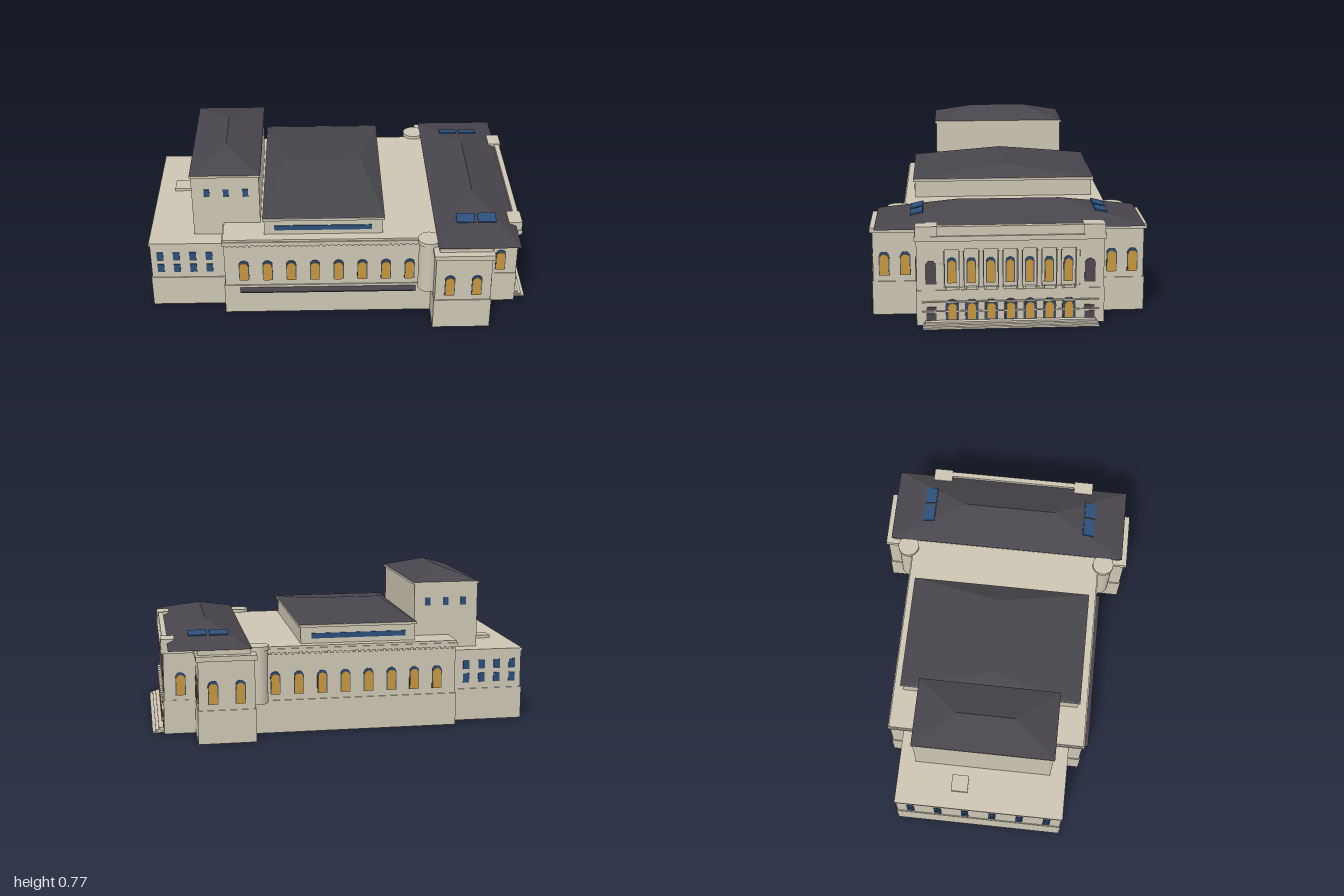
import * as THREE from 'three';
import { ConvexGeometry } from 'three/addons/geometries/ConvexGeometry.js';

const material = (name, color) => {
  const m = new THREE.MeshStandardMaterial({ color });
  m.name = name;
  return m;
};

export function createModel() {
  const stone = material('stone', 0xcdc6b4);
  const slate = material('slate', 0x48464c);
  const amber = material('amberGlass', 0xc8963c);
  const blue = material('blueGlass', 0x2c4f7a);
  const grey = material('greyNiche', 0x4c484e);

  const model = new THREE.Group();
  model.name = 'building';
  // The plan is turned a little; inside it, +x is the entrance end.
  const plan = new THREE.Group();
  plan.name = 'plan';
  plan.rotation.y = Math.PI / 20;
  plan.position.set(0.011, 0, 0.069);
  model.add(plan);

  const add = (name, geometry, mat) => {
    const mesh = new THREE.Mesh(geometry, mat);
    mesh.name = name;
    plan.add(mesh);
    return mesh;
  };
  const box = (name, mat, x0, x1, y0, y1, z0, z1) => {
    const mesh = add(name, new THREE.BoxGeometry(x1 - x0, y1 - y0, z1 - z0), mat);
    mesh.position.set((x0 + x1) / 2, (y0 + y1) / 2, (z0 + z1) / 2);
    return mesh;
  };
  // Block symmetric about the long axis
  const block = (name, x0, x1, y0, y1, half) => box(name, stone, x0, x1, y0, y1, -half, half);
  const hipRoof = (name, x0, x1, half, y0, y1, rx0, rx1, rz) => {
    const pts = [];
    for (const s of [-1, 1]) {
      for (const x of [x0, x1]) pts.push(new THREE.Vector3(x, y0, s * half));
    }
    if (rz > 0) for (const s of [-1, 1]) pts.push(new THREE.Vector3(rx0, y1, s * rz));
    else for (const x of [rx0, rx1]) pts.push(new THREE.Vector3(x, y1, 0));
    add(name, new ConvexGeometry(pts), slate);
  };

  // Plates on walls: turn 0 faces +z, PI faces -z, PI/2 faces +x, -PI/2 faces -x
  const plate = (name, mat, x, y, z, turn, w, h, arched, depth) => {
    const s = new THREE.Shape();
    const r = w / 2;
    s.moveTo(-r, 0);
    s.lineTo(r, 0);
    s.lineTo(r, arched ? h - r : h);
    if (arched) s.absarc(0, h - r, r, 0, Math.PI, false);
    else s.lineTo(-r, h);
    s.closePath();
    const g = new THREE.ExtrudeGeometry(s, { depth, bevelEnabled: false, curveSegments: 8 });
    const mesh = add(name, g, mat);
    mesh.position.set(x, y, z);
    mesh.rotation.y = turn;
  };
  const archWindow = (x, y, z, turn, w = 0.05, h = 0.115) => {
    plate('windowFrame', blue, x, y, z, turn, w, h, true, 0.004);
    plate('windowPane', amber, x, y, z, turn, w - 0.008, h - 0.012, true, 0.007);
  };

  // Rear service wing
  block('rearWingPlinth', -0.96, -0.55, 0, 0.165, 0.427);
  block('rearWing', -0.955, -0.55, 0.165, 0.355, 0.422);
  block('rearWingCornice', -0.96, -0.55, 0.355, 0.37, 0.427);
  box('roofHatch', stone, -0.872, -0.788, 0.37, 0.385, -0.148, -0.064);
  for (const y of [0.198, 0.268]) {
    for (let i = 0; i < 4; i++) {
      for (const s of [-1, 1]) {
        plate('wingWindow', blue, -0.908 + i * 0.081, y, s * 0.422, s > 0 ? 0 : Math.PI, 0.033, 0.047, false, 0.004);
      }
    }
    for (let i = 0; i < 6; i++) {
      plate('wingEndWindow', blue, -0.955, y, -0.35 + i * 0.14, -Math.PI / 2, 0.036, 0.047, false, 0.004);
    }
  }

  // Main hall
  block('hallPlinth', -0.59, 0.46, 0, 0.165, 0.501);
  block('hallWalls', -0.585, 0.46, 0.165, 0.405, 0.495);
  block('hallCornice', -0.594, 0.46, 0.405, 0.425, 0.505);
  block('hallParapet', -0.588, 0.46, 0.425, 0.436, 0.499);
  for (const s of [-1, 1]) {
    const turn = s > 0 ? 0 : Math.PI;
    for (let i = 0; i < 8; i++) archWindow(-0.49 + i * 0.117, 0.195, s * 0.495, turn);
    for (let i = 0; i < 36; i++) {
      const x = -0.575 + i * 0.028;
      box('dentil', stone, x, x + 0.012, 0.396, 0.405, s * 0.5 - 0.006, s * 0.5 + 0.002);
    }
  }
  box('frontCanopy', slate, -0.51, 0.36, 0.146, 0.152, 0.49, 0.54);

  // Stage tower
  block('tower', -0.738, -0.407, 0.36, 0.705, 0.344);
  block('towerCornice', -0.744, -0.4, 0.7, 0.712, 0.351);
  hipRoof('towerRoof', -0.744, -0.4, 0.351, 0.712, 0.773, -0.572, -0.572, 0.145);
  for (const s of [-1, 1]) {
    for (const x of [-0.664, -0.57, -0.475]) {
      plate('towerWindow', blue, x, 0.59, s * 0.344, s > 0 ? 0 : Math.PI, 0.028, 0.042, false, 0.004);
    }
  }

  // Auditorium
  block('auditorium', -0.385, 0.195, 0.43, 0.522, 0.45);
  block('auditoriumCornice', -0.392, 0.204, 0.518, 0.531, 0.46);
  hipRoof('auditoriumRoof', -0.39, 0.202, 0.458, 0.531, 0.59, -0.29, 0.1, 0);
  for (const s of [-1, 1]) {
    plate('clerestory', blue, -0.097, 0.461, s * 0.45, s > 0 ? 0 : Math.PI, 0.476, 0.026, false, 0.004);
  }

  // Entrance pavilion
  block('pavilionPlinth', 0.438, 0.72, 0, 0.165, 0.645);
  block('pavilionWalls', 0.443, 0.715, 0.165, 0.405, 0.64);
  block('pavilionCornice', 0.433, 0.725, 0.405, 0.43, 0.651);
  block('pavilionAttic', 0.46, 0.715, 0.43, 0.456, 0.615);
  hipRoof('pavilionRoof', 0.453, 0.852, 0.623, 0.455, 0.545, 0.652, 0.652, 0.243);
  for (const s of [-1, 1]) {
    const turn = s > 0 ? 0 : Math.PI;
    for (const x of [0.514, 0.645]) archWindow(x, 0.195, s * 0.64, turn);
    for (const z of [0.488, 0.587]) archWindow(0.715, 0.195, s * z, Math.PI / 2);
    archWindow(0.79, 0.195, s * 0.432, turn);
    // Corner turret
    const turret = add('turret', new THREE.CylinderGeometry(0.05, 0.05, 0.265, 24), stone);
    turret.position.set(0.418, 0.2975, s * 0.525);
    const cap = add('turretCap', new THREE.CylinderGeometry(0.055, 0.055, 0.022, 24), stone);
    cap.position.set(0.418, 0.441, s * 0.525);
    // Skylights lying on the hip end
    for (const x of [0.6, 0.704]) {
      const light = add('skylight', new THREE.BoxGeometry(0.09, 0.008, 0.06), blue);
      light.position.set(x, 0.503, s * 0.43);
      light.rotation.x = s * Math.atan(0.09 / 0.38);
    }
  }

  // Entrance front with a recessed colonnade
  block('entranceBase', 0.7, 0.875, 0, 0.17, 0.435);
  block('colonnadeBackWall', 0.7, 0.835, 0.17, 0.37, 0.432);
  block('entablature', 0.7, 0.872, 0.365, 0.406, 0.432);
  block('entranceCornice', 0.7, 0.884, 0.406, 0.43, 0.44);
  block('entranceAttic', 0.7, 0.872, 0.43, 0.454, 0.432);
  block('entranceParapet', 0.848, 0.874, 0.43, 0.474, 0.432);
  block('upperLedge', 0.87, 0.884, 0.112, 0.118, 0.41);
  block('lowerLedge', 0.87, 0.881, 0.066, 0.071, 0.41);
  for (const s of [-1, 1]) {
    box('endPier', stone, 0.83, 0.872, 0.17, 0.37, s * 0.376 - 0.056, s * 0.376 + 0.056);
    box('cornerBlock', stone, 0.815, 0.882, 0.43, 0.477, s * 0.385 - 0.05, s * 0.385 + 0.05);
    plate('niche', grey, 0.872, 0.2, s * 0.367, Math.PI / 2, 0.05, 0.112, true, 0.004);
    plate('smallWindow', grey, 0.875, 0.074, s * 0.367, Math.PI / 2, 0.046, 0.015, false, 0.004);
    plate('smallWindow', grey, 0.875, 0.022, s * 0.367, Math.PI / 2, 0.046, 0.036, false, 0.004);
  }
  for (let i = -3; i <= 3; i++) {
    const z = i * 0.09;
    archWindow(0.835, 0.192, z, Math.PI / 2, 0.044, 0.122);
    box('balcony', stone, 0.87, 0.888, 0.174, 0.188, z - 0.025, z + 0.025);
    plate('lowerArch', grey, 0.875, 0.026, z, Math.PI / 2, 0.062, 0.1, true, 0.003);
    plate('lowerFrame', blue, 0.875, 0.026, z, Math.PI / 2, 0.052, 0.092, true, 0.006);
    plate('lowerPane', amber, 0.875, 0.03, z, Math.PI / 2, 0.038, 0.078, true, 0.009);
  }
  for (let i = 0; i < 8; i++) {
    const z = -0.315 + i * 0.09;
    const column = add('column', new THREE.CylinderGeometry(0.01, 0.012, 0.18, 12), stone);
    column.position.set(0.858, 0.27, z);
    box('columnBase', stone, 0.844, 0.872, 0.17, 0.182, z - 0.014, z + 0.014);
    box('columnCapital', stone, 0.844, 0.872, 0.355, 0.366, z - 0.014, z + 0.014);
    box('pilaster', stone, 0.833, 0.841, 0.17, 0.366, z - 0.013, z + 0.013);
  }

  // Entrance steps
  for (let i = 0; i < 3; i++) {
    block('step', 0.86, 0.933 - i * 0.016, i * 0.008, (i + 1) * 0.008, 0.406 - i * 0.006);
  }
  return model;
}
